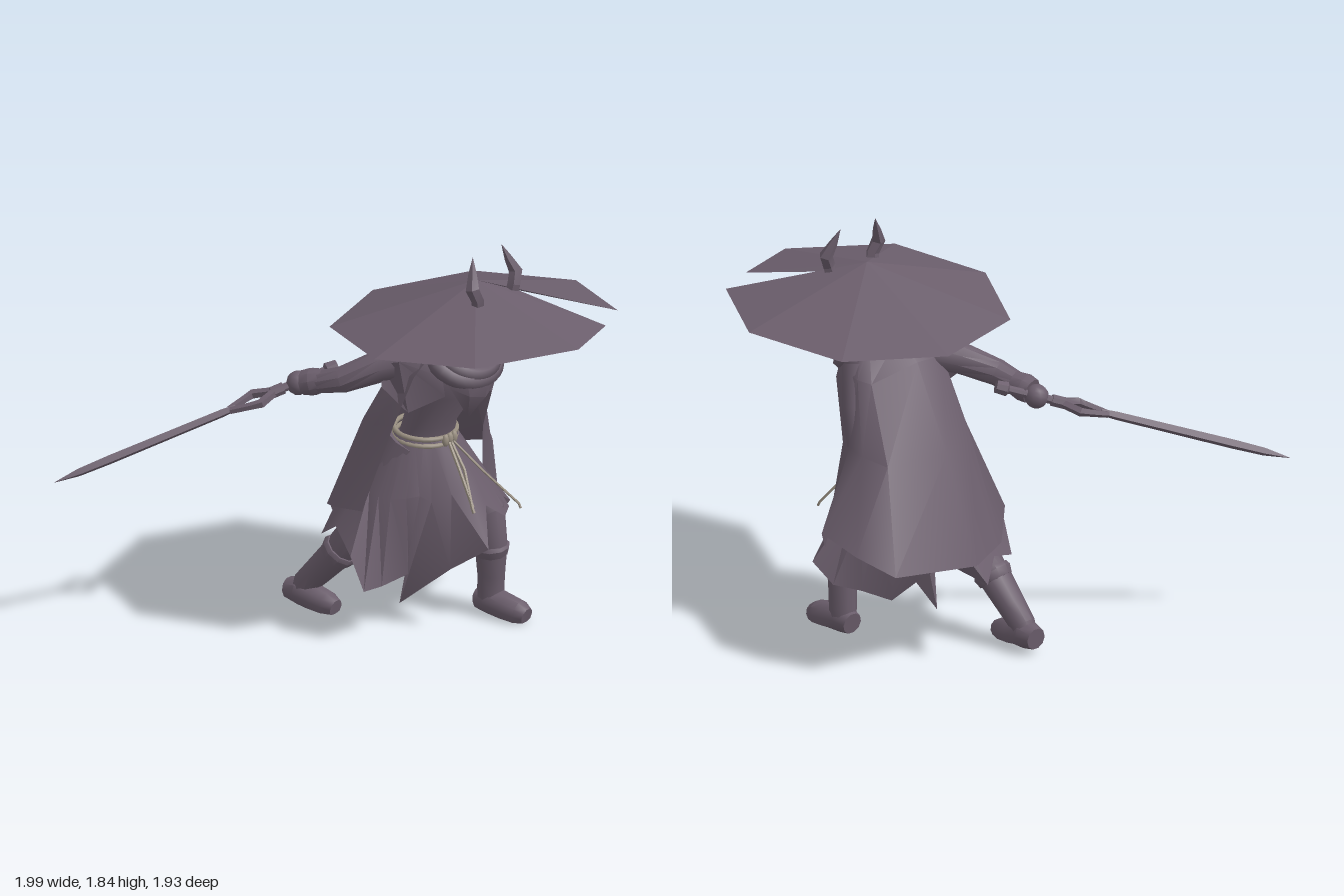
import * as THREE from 'three';
import { toCreasedNormals } from 'three/addons/utils/BufferGeometryUtils.js';

const V = (p) => new THREE.Vector3(p[0], p[1], p[2]);

export function createModel() {
  const model = new THREE.Group();
  model.name = 'wanderer';
  const cloth = new THREE.MeshStandardMaterial({ color: 0x6b5e6c, side: THREE.DoubleSide });
  cloth.name = 'dusty purple';
  const rope = new THREE.MeshStandardMaterial({ color: 0x9a9082, side: THREE.DoubleSide });
  rope.name = 'rope beige';

  function add(name, geo, mat = cloth, parent = model) {
    const mesh = new THREE.Mesh(geo, mat);
    mesh.name = name;
    parent.add(mesh);
    return mesh;
  }

  // Surface through rows of points; closed joins the last column to the first
  function sheet(rows, closed = false, crease = 0.7) {
    const n = rows[0].length, pos = [], idx = [];
    rows.forEach((r) => r.forEach((p) => pos.push(p[0], p[1], p[2])));
    for (let i = 0; i < rows.length - 1; i++) {
      for (let j = 0; j < (closed ? n : n - 1); j++) {
        const a = i * n + j, b = i * n + (j + 1) % n;
        idx.push(a, a + n, b, b, a + n, b + n);
      }
    }
    const g = new THREE.BufferGeometry();
    g.setAttribute('position', new THREE.Float32BufferAttribute(pos, 3));
    g.setIndex(idx);
    return toCreasedNormals(g, crease);
  }

  // Round loft along points [x, y, z, radius], capped, optionally flattened on a floor
  function limb(pts, sides = 10, floor = -Infinity, crease = 0.7) {
    const axis = new THREE.Vector3(0, pts[pts.length - 1][1] < pts[0][1] ? -1 : 1, 0);
    const rows = pts.map((p, i) => {
      const dir = V(pts[Math.min(i + 1, pts.length - 1)]).sub(V(pts[Math.max(i - 1, 0)])).normalize();
      const q = new THREE.Quaternion().setFromUnitVectors(axis, dir);
      return Array.from({ length: sides }, (_, k) => {
        const a = (k / sides) * Math.PI * 2;
        const v = new THREE.Vector3(Math.cos(a) * p[3], 0, Math.sin(a) * p[3]).applyQuaternion(q).add(V(p));
        return [v.x, Math.max(v.y, floor), v.z];
      });
    });
    const cap = (p) => Array.from({ length: sides }, () => [p[0], Math.max(p[1], floor), p[2]]);
    return sheet([cap(pts[0]), ...rows, cap(pts[pts.length - 1])], true, crease);
  }

  // Horizontal ellipse rings [x, y, z, rx, rz]
  const ring = ([x, y, z, rx, rz], n) => Array.from({ length: n }, (_, k) => {
    const a = (k / n) * Math.PI * 2;
    return [x - Math.sin(a) * rx, y, z + Math.cos(a) * rz];
  });

  // Closed tube on an ellipse that slopes from back to front
  function loop(x, y, z, rx, rz, slope, r) {
    const pts = Array.from({ length: 16 }, (_, k) => {
      const a = (k / 16) * Math.PI * 2;
      return new THREE.Vector3(x + Math.sin(a) * rx, y - Math.cos(a) * slope, z + Math.cos(a) * rz);
    });
    return new THREE.TubeGeometry(new THREE.CatmullRomCurve3(pts, true), 28, r, 6, true);
  }

  // Hat: faceted cone with a cut wedge at the front
  const apex = [0.36, 1.68, 0.33];
  const rim = [[0.42, -0.31], [0.85, -0.09], [0.995, 0.38], [0.79, 0.79], [0.49, 0.465], [0.61, 0.87],
    [0.305, 0.965], [-0.13, 0.73], [-0.27, 0.27], [-0.05, -0.17]]
    .map(([x, z], i) => [x, i === 4 ? 1.625 : 1.466 + z * 0.066, z]);
  add('hat', sheet([rim.map(() => apex), rim], true, 0.05));

  // Horns
  for (const s of [-1, 1]) {
    const x = 0.355;
    add('horn', limb([[x + s * 0.115, 1.6, 0.44, 0.03], [x + s * 0.125, 1.655, 0.45, 0.03],
      [x + s * 0.15, 1.71, 0.44, 0.032], [x + s * 0.125, 1.77, 0.42, 0.02], [x + s * 0.1, 1.837, 0.4, 0.001]], 5, -Infinity, 0.3));
  }

  // Head and pointed mask
  const head = add('head', new THREE.SphereGeometry(0.13, 16, 12));
  head.position.set(0.355, 1.46, 0.33);
  add('mask', limb([[0.355, 1.55, 0.4, 0.085], [0.355, 1.47, 0.4, 0.095], [0.355, 1.41, 0.41, 0.075],
    [0.352, 1.36, 0.435, 0.04], [0.35, 1.315, 0.455, 0.004]], 8, -Infinity, 0.3));
  add('maskRidge', limb([[0.355, 1.5, 0.485, 0.012], [0.355, 1.42, 0.485, 0.014], [0.352, 1.35, 0.468, 0.004]], 4));
  for (const s of [-1, 1]) {
    add('maskBrow', limb([[0.355 + s * 0.015, 1.43, 0.485, 0.007], [0.355 + s * 0.055, 1.455, 0.475, 0.01],
      [0.355 + s * 0.1, 1.49, 0.425, 0.004]], 5));
    add('maskCheek', limb([[0.355 + s * 0.095, 1.46, 0.4, 0.012], [0.355 + s * 0.07, 1.39, 0.43, 0.012],
      [0.355 + s * 0.035, 1.345, 0.45, 0.003]], 5));
  }

  // Torso
  add('torso', sheet([[0.355, 0.84, 0.04, 0.15, 0.12], [0.355, 0.95, 0.07, 0.14, 0.11], [0.36, 1.12, 0.15, 0.17, 0.14],
    [0.37, 1.28, 0.19, 0.2, 0.15], [0.37, 1.37, 0.22, 0.12, 0.1], [0.36, 1.45, 0.29, 0.08, 0.08]]
    .map((r) => ring(r, 14)), true, 1));

  // Scarf folds and hanging point
  add('scarfLower', loop(0.37, 1.3, 0.25, 0.175, 0.115, 0.085, 0.042));
  add('scarfMiddle', loop(0.37, 1.335, 0.265, 0.15, 0.105, 0.085, 0.038));
  add('scarfUpper', loop(0.365, 1.37, 0.275, 0.13, 0.1, 0.06, 0.03));
  add('scarfPoint', sheet([
    [[0.17, 1.31, 0.27], [0.26, 1.26, 0.36], [0.36, 1.24, 0.4], [0.46, 1.26, 0.36], [0.56, 1.31, 0.27]],
    [[0.21, 1.2, 0.31], [0.27, 1.16, 0.37], [0.35, 1.14, 0.395], [0.43, 1.16, 0.37], [0.5, 1.2, 0.31]],
    [[0.32, 1.045, 0.31], [0.33, 1.035, 0.31], [0.34, 1.03, 0.31], [0.35, 1.035, 0.31], [0.36, 1.045, 0.31]]]));

  // Cape: columns run from the front edge round the left side and back to the right side
  add('cape', sheet([
    [[0.38, 1.27, 0.36], [0.5, 1.35, 0.31], [0.56, 1.37, 0.2], [0.55, 1.38, 0.15], [0.52, 1.385, 0.12], [0.36, 1.4, 0.11], [0.22, 1.37, 0.12], [0.18, 1.37, 0.17], [0.18, 1.36, 0.23]],
    [[0.42, 1.13, 0.37], [0.57, 1.2, 0.29], [0.62, 1.27, 0.16], [0.62, 1.26, 0.08], [0.59, 1.25, 0.02], [0.36, 1.31, -0.02], [0.18, 1.28, 0.03], [0.12, 1.25, 0.1], [0.11, 1.25, 0.18]],
    [[0.53, 0.9, 0.23], [0.63, 0.94, 0.17], [0.69, 0.97, 0.05], [0.71, 0.96, -0.06], [0.67, 0.94, -0.19], [0.38, 0.95, -0.25], [0.17, 0.95, -0.16], [0.1, 0.97, -0.04], [0.09, 1, 0.08]],
    [[0.6, 0.58, 0.17], [0.79, 0.5, 0.1], [0.925, 0.645, -0.04], [0.9, 0.59, -0.25], [0.81, 0.52, -0.415], [0.365, 0.47, -0.44], [0.15, 0.5, -0.35], [-0.01, 0.58, -0.18], [-0.03, 0.61, 0]],
  ]));

  // Short flap over the right shoulder
  add('shoulderFlap', sheet([
    [[0.3, 1.36, 0.31], [0.2, 1.37, 0.2], [0.18, 1.36, 0.08]],
    [[0.2, 1.25, 0.27], [0.08, 1.32, 0.12], [0.09, 1.28, 0.01]],
    [[0.22, 1.15, 0.27], [0.12, 1.07, 0.14], [0.07, 1.18, 0.03]]]));

  // Skirt: torn hem, from the front centre round the right side, back and left
  const hem = [[0.34, 0.42, 0.42], [0.28, 0.3, 0.25], [0.23, 0.09, 0], [0.17, 0.36, 0.1], [0.12, 0.3, 0.14],
    [0.01, 0.26, 0.08], [-0.09, 0.26, 0.06], [-0.11, 0.42, 0], [-0.03, 0.5, -0.15], [0.05, 0.4, -0.3],
    [0.2, 0.45, -0.36], [0.36, 0.4, -0.51], [0.34, 0.4, -0.2], [0.42, 0.3, -0.09], [0.49, 0.2, 0],
    [0.63, 0.27, 0.04], [0.76, 0.32, 0.08], [0.83, 0.43, 0.14], [0.71, 0.5, 0.2], [0.64, 0.5, 0.29],
    [0.54, 0.5, 0.35], [0.43, 0.58, 0.33]];
  const waist = ring([0.355, 0.9, 0.04, 0.145, 0.13], hem.length);
  const flare = ring([0.365, 0.68, 0.03, 0.29, 0.25], hem.length);
  const middle = flare.map((p, i) => p.map((c, k) => c * 0.7 + 0.3 * (waist[i][k] * 0.5 + hem[i][k] * 0.5)));
  add('skirt', sheet([waist, middle, hem], true));

  // Rope belt, knot and dangling ends
  for (const dy of [-0.016, 0.016]) add('beltRope', loop(0.355, 0.892 + dy, 0.045, 0.148, 0.132, 0.012, 0.012), rope);
  for (const dx of [-0.03, 0, 0.03]) {
    const knot = add('beltKnot', new THREE.SphereGeometry(0.023, 8, 6), rope);
    knot.position.set(0.355 + dx, 0.885, 0.185);
    knot.scale.set(0.7, 1.3, 0.7);
  }
  for (const [r, ...path] of [[0.008, [0.36, 0.87, 0.19], [0.33, 0.77, 0.29], [0.27, 0.63, 0.385]],
    [0.006, [0.375, 0.87, 0.19], [0.44, 0.74, 0.3], [0.57, 0.565, 0.405]],
    [0.008, [0.345, 0.87, 0.19], [0.31, 0.77, 0.28], [0.28, 0.65, 0.37]]]) {
    add('beltEnd', limb([...path.map((p) => [...p, r]),
      [path[2][0], path[2][1] - 0.02, path[2][2] + 0.01, r]], 5), rope);
  }

  // Left leg, forward
  add('leftLeg', limb([[0.42, 0.85, 0.02, 0.1], [0.5, 0.67, 0.12, 0.095], [0.54, 0.5, 0.245, 0.086], [0.55, 0.33, 0.26, 0.076]]));
  add('leftBootCuff', limb([[0.55, 0.345, 0.26, 0.078], [0.55, 0.335, 0.26, 0.086], [0.555, 0.3, 0.258, 0.076]]));
  add('leftBoot', limb([[0.555, 0.32, 0.258, 0.074], [0.565, 0.2, 0.25, 0.064], [0.57, 0.12, 0.243, 0.062], [0.57, 0.05, 0.243, 0.06]]));
  add('leftFoot', limb([[0.57, 0.055, 0.178, 0.05], [0.57, 0.065, 0.24, 0.066], [0.573, 0.05, 0.33, 0.064],
    [0.577, 0.04, 0.4, 0.058], [0.58, 0.03, 0.44, 0.04]], 10, 0));

  // Right leg, trailing
  add('rightLeg', limb([[0.28, 0.85, 0.02, 0.11], [0.2, 0.6, -0.08, 0.1], [0.15, 0.45, -0.14, 0.088], [0.12, 0.3, -0.26, 0.075]]));
  add('rightBootCuff', limb([[0.12, 0.33, -0.235, 0.08], [0.118, 0.315, -0.247, 0.088], [0.114, 0.285, -0.27, 0.078]]));
  add('rightBoot', limb([[0.115, 0.3, -0.26, 0.074], [0.1, 0.19, -0.36, 0.064], [0.092, 0.12, -0.425, 0.058], [0.09, 0.07, -0.44, 0.056]]));
  add('rightFoot', limb([[0.09, 0.075, -0.517, 0.05], [0.09, 0.08, -0.45, 0.066], [0.09, 0.065, -0.37, 0.064],
    [0.09, 0.055, -0.3, 0.058], [0.09, 0.045, -0.25, 0.04]], 10, 0.015));

  // Right arm reaching back, with cuff and fist
  add('rightArm', limb([[0.22, 1.3, 0.12, 0.09], [0.1, 1.26, -0.01, 0.072], [-0.01, 1.2, -0.13, 0.06], [-0.05, 1.155, -0.29, 0.05]]));
  add('rightCuff', limb([[-0.025, 1.18, -0.22, 0.052], [-0.045, 1.165, -0.27, 0.064], [-0.055, 1.155, -0.31, 0.058]]));
  const fist = add('rightHand', new THREE.SphereGeometry(0.055, 10, 8));
  fist.position.set(-0.055, 1.143, -0.345);
  // Left arm under the cape
  add('leftArm', limb([[0.54, 1.28, 0.16, 0.08], [0.61, 1.12, 0.1, 0.065], [0.64, 0.92, 0.04, 0.05]]));

  // Sword, built along its own y axis
  const sword = new THREE.Group();
  sword.name = 'sword';
  const butt = V([0.1, 1.2, -0.25]);
  const dir = V([-0.995, 0.8, -0.968]).sub(butt);
  const len = dir.length();
  dir.normalize();
  const side = new THREE.Vector3().crossVectors(dir, V([0, 1, 0])).normalize();
  sword.quaternion.setFromRotationMatrix(new THREE.Matrix4().makeBasis(side, dir, side.clone().cross(dir)));
  sword.position.copy(butt);
  model.add(sword);
  add('handle', limb([[0, 0, 0, 0.03], [0, 0.05, 0, 0.034], [0, 0.06, 0, 0.02], [0, 0.3, 0, 0.02]], 8), cloth, sword);
  add('collar', limb([[0, 0.26, 0, 0.028], [0, 0.32, 0, 0.028]], 8), cloth, sword);
  for (const s of [-1, 1]) {
    add('guardProng', limb([[s * 0.008, 0.31, 0, 0.02], [s * 0.06, 0.39, 0, 0.022], [s * 0.045, 0.43, 0, 0.018],
      [s * 0.008, 0.52, 0, 0.016]], 5), cloth, sword);
  }
  const blade = add('blade', limb([[0, 0.49, 0, 0.018], [0, 0.56, 0, 0.023], [0, 1.1, 0, 0.026], [0, 1.25, 0, 0.022],
    [0, len, 0, 0.001]], 4, -Infinity, 0.3), cloth, sword);
  blade.scale.z = 0.85;

  return model;
}
